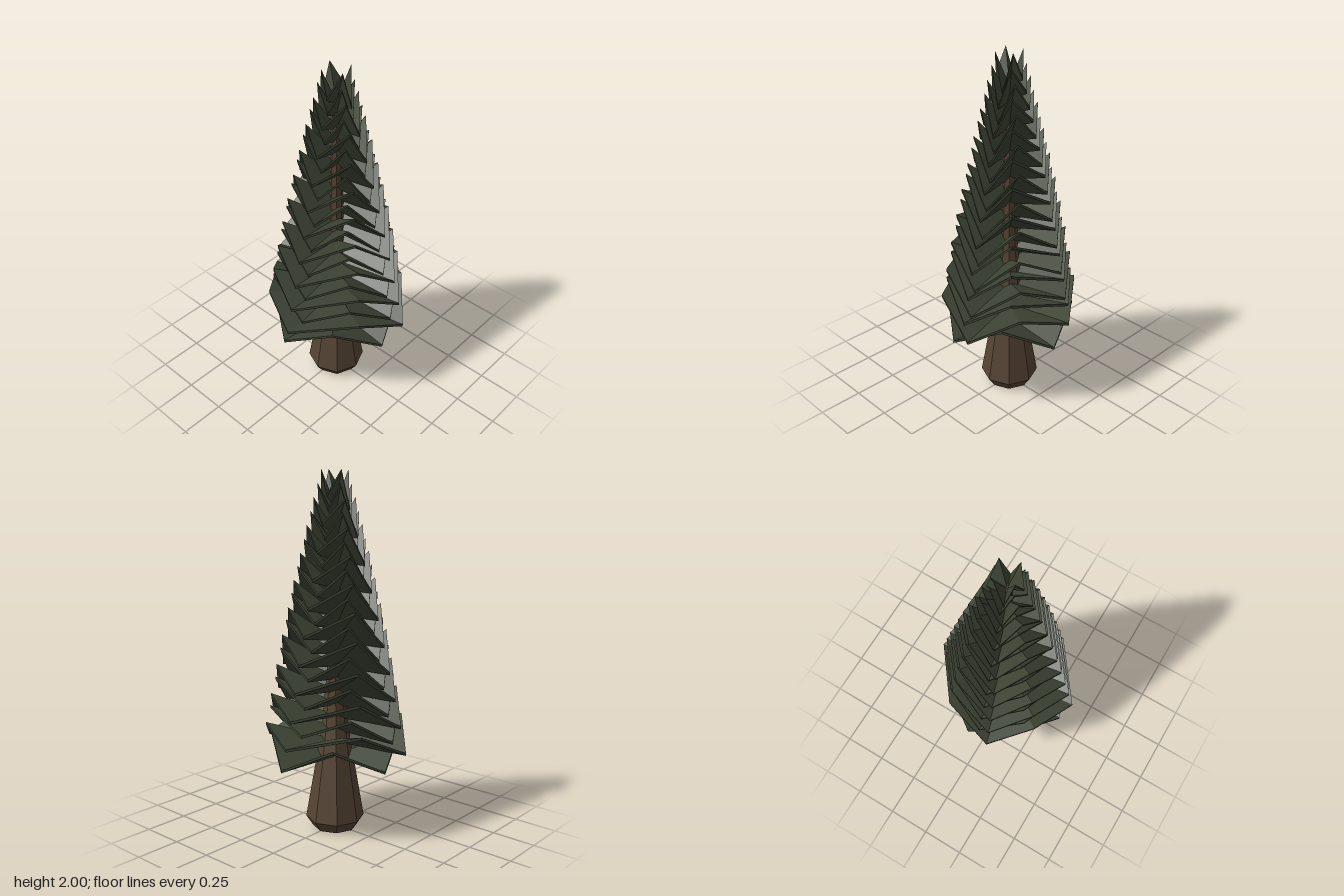
import * as THREE from 'three';

const bark = new THREE.MeshStandardMaterial({ color: 0x554434, flatShading: true });
bark.name = 'bark brown';
const needles = new THREE.MeshStandardMaterial({ color: 0x3d4434, flatShading: true });
needles.name = 'needle green';

// Four folded boughs joined in a ring: raised tips on the sides, drooping corners between them.
// depth is the half size along the heading; liftA and liftB raise the two diagonal pairs of
// corners, and skew slides the side tips along the heading.
function tierGeometry({ scale, width, depth, tip, skew, rise, liftA, liftB }) {
  const thick = 0.015;
  const ring = [
    [0, rise, tip], [width, liftA, depth],
    [tip, rise, -skew], [width, liftB, -depth],
    [0, rise, -tip], [-width, liftA, -depth],
    [-tip, rise, skew], [-width, liftB, depth],
  ];
  const middle = [0, (liftA + liftB) / 4, 0];
  const top = [middle, ...ring].map(([x, y, z]) => [x * scale, y, z * scale]);
  const points = [...top, ...top.map(([x, y, z]) => [x, y - thick, z])];
  const n = top.length;
  const index = [];
  for (let i = 0; i < 8; i++) {
    const a = i + 1, b = (i + 1) % 8 + 1;
    index.push(0, a, b);                             // upper face
    index.push(n, b + n, a + n);                     // underside
    index.push(a + n, b + n, b, a + n, b, a);        // rim
  }
  const geometry = new THREE.BufferGeometry();
  geometry.setAttribute('position', new THREE.Float32BufferAttribute(points.flat(), 3));
  geometry.setIndex(index);
  const flat = geometry.toNonIndexed();
  flat.computeVertexNormals();
  return flat;
}

export function createModel() {
  const tree = new THREE.Group();
  tree.name = 'pineTree';

  // Eight-sided trunk with a chamfered foot, flaring below the boughs
  const profile = [[0, 0], [0.125, 0], [0.165, 0.06], [0.103, 0.42], [0.074, 0.6],
    [0.046, 0.9], [0.025, 1.83], [0, 1.83]].map(([r, y]) => new THREE.Vector2(r, y));
  const trunk = new THREE.Mesh(new THREE.LatheGeometry(profile, 8), bark);
  trunk.name = 'trunk';
  tree.add(trunk);

  // A square lowest tier, then tiers twisted alternately one way and the other
  const lowest = { width: 0.278, depth: 0.28, tip: 0.36, skew: 0, liftA: 0, liftB: 0, heading: 51 };
  const twistedRight = { width: 0.278, depth: 0.33, tip: 0.39, skew: 0.05, liftA: 0.07, liftB: 0, heading: -54 };
  const twistedLeft = { width: 0.26, depth: 0.3, tip: 0.37, skew: -0.05, liftA: 0, liftB: 0.07, heading: 36 };
  const tiers = 20;
  for (let i = 0; i < tiers; i++) {
    const y = 0.425 + i * 0.0725;
    const up = Math.max(0, y - 0.5);
    const shape = i === 0 ? lowest : i % 2 ? twistedRight : twistedLeft;
    const tier = new THREE.Mesh(tierGeometry({
      ...shape,
      scale: 1 - 0.55 * up - 0.04 * up ** 3,
      rise: Math.min(0.2, 0.135 + i * 0.009),
    }), needles);
    tier.name = `boughTier${i + 1}`;
    tier.position.y = y;
    tier.rotation.y = THREE.MathUtils.degToRad(90 - shape.heading + i * 0.3);
    tree.add(tier);
  }
  return tree;
}
